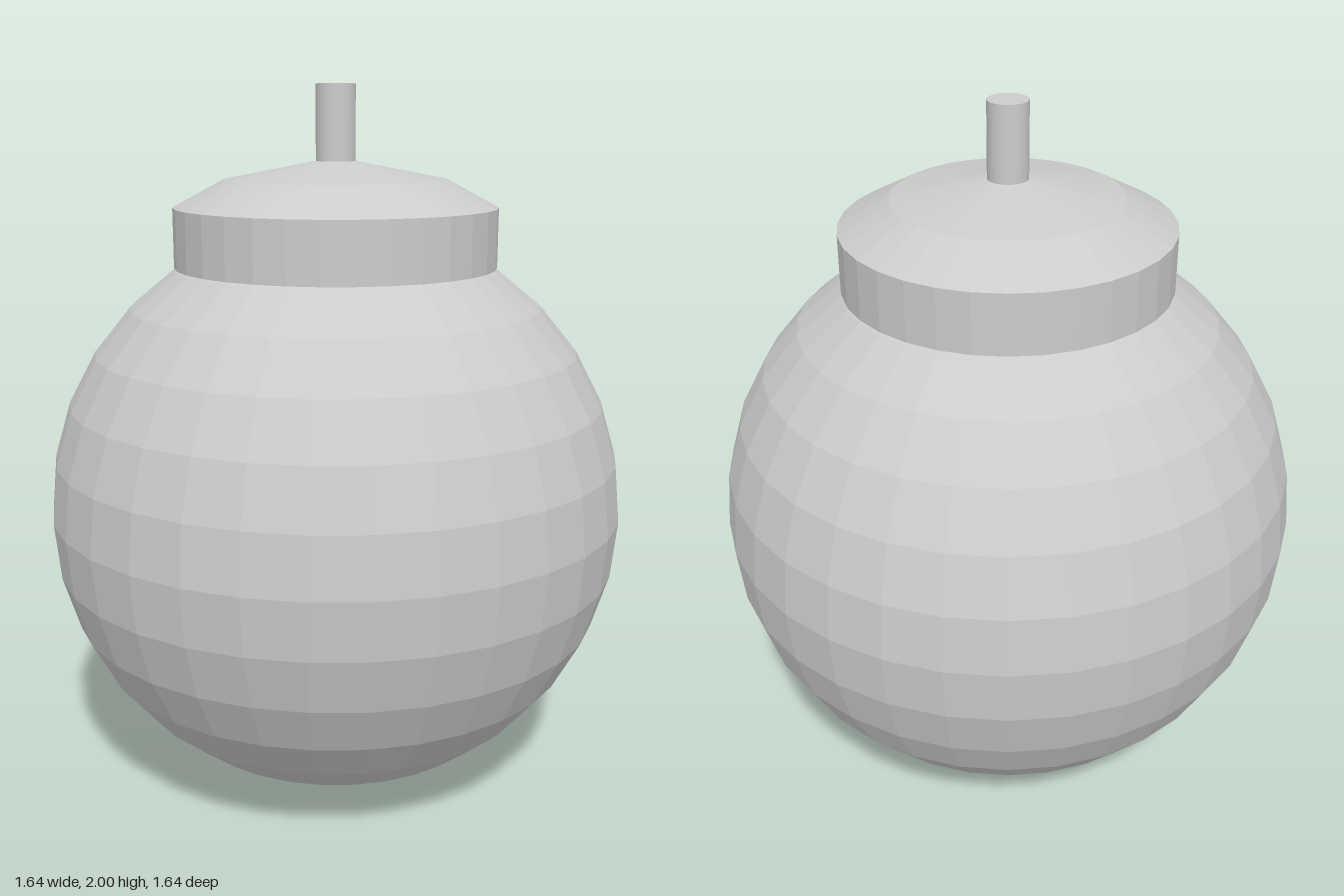
import * as THREE from 'three';

const SIDES = 32;

export function createModel() {
  const model = new THREE.Group();
  const material = new THREE.MeshStandardMaterial({ color: 0xcccccc, flatShading: true });

  const add = (name, geometry, y = 0) => {
    const mesh = new THREE.Mesh(geometry, material);
    mesh.name = name;
    mesh.position.y = y;
    model.add(mesh);
  };

  // Faceted round body standing on its lowest point
  const radius = 0.818;
  add('body', new THREE.SphereGeometry(radius, SIDES, 16), radius);

  // Collar band with a shallow domed lid, closed underneath
  const capProfile = [
    [0, 1.505], [0.452, 1.505], [0.452, 1.67], [0.312, 1.745], [0, 1.805],
  ].map(([r, y]) => new THREE.Vector2(r, y));
  add('cap', new THREE.LatheGeometry(capProfile, SIDES));

  // Short stem, sunk slightly into the dome
  const stemBottom = 1.77, stemTop = 2;
  add('stem',
    new THREE.CylinderGeometry(0.055, 0.055, stemTop - stemBottom, SIDES),
    (stemTop + stemBottom) / 2);

  return model;
}
